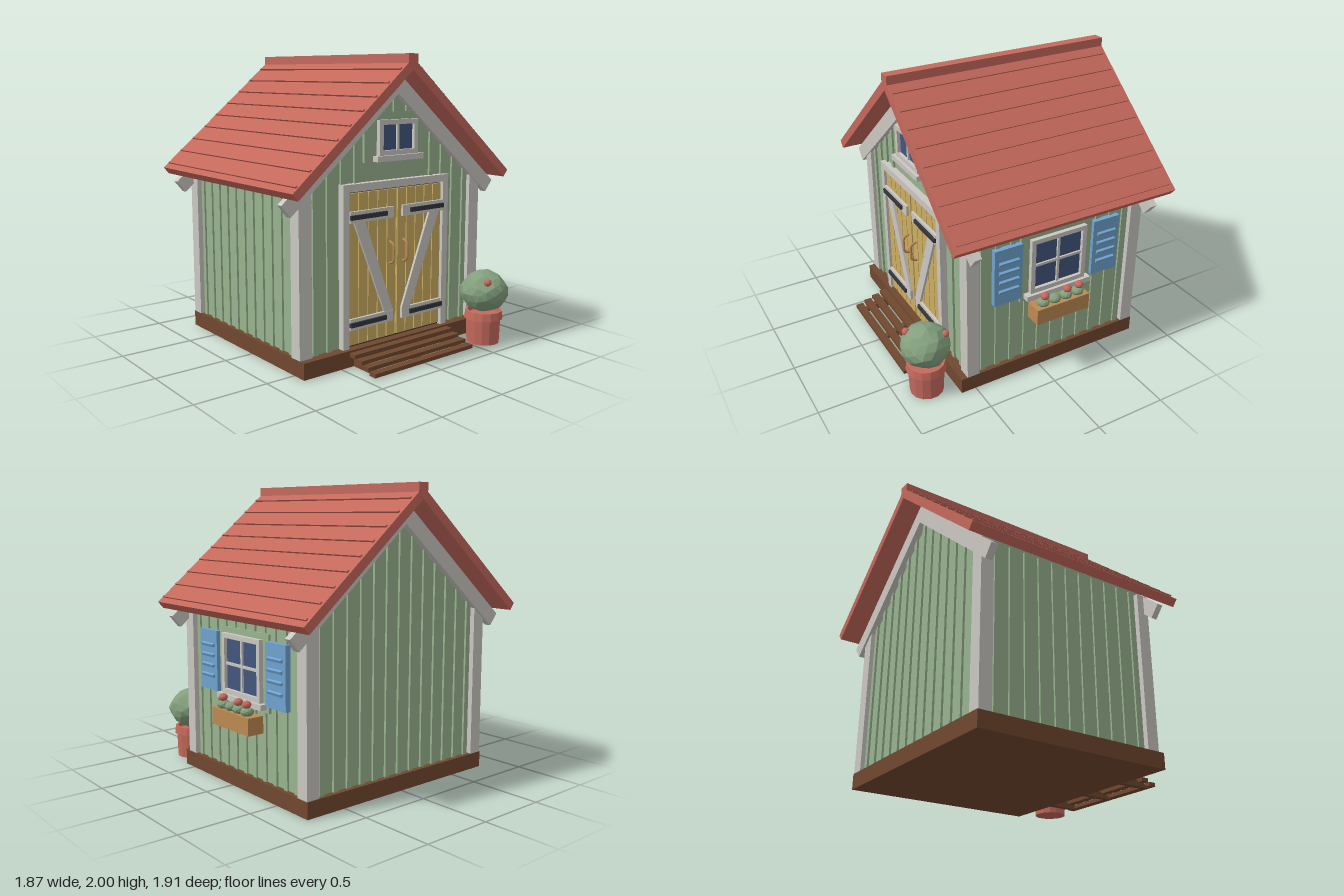
import * as THREE from 'three';

const mat = (name, color) => Object.assign(new THREE.MeshStandardMaterial({ color }), { name });

export function createModel() {
  const root = new THREE.Group();
  root.name = 'gardenShed';
  const red = mat('terracottaRed', 0xc4695c), green = mat('wallGreen', 0x98b38f);
  const trim = mat('trimGrey', 0xcbc8c3), yellow = mat('doorYellow', 0xcbae62);
  const blue = mat('shutterBlue', 0x6fa3cf), glass = mat('windowGlass', 0x42567c);
  const brown = mat('timberBrown', 0x70482f), iron = mat('ironBlack', 0x34363a);
  const wood = mat('planterWood', 0xbd8a52), leaf = mat('leafGreen', 0x829f7c);

  const add = (name, geo, material, parent = root) => {
    const m = new THREE.Mesh(geo, material);
    m.name = name;
    parent.add(m);
    return m;
  };
  // box given by its low and high limits on each axis
  const box = (name, material, x0, x1, y0, y1, z0, z1, parent = root) => {
    const m = add(name, new THREE.BoxGeometry(x1 - x0, y1 - y0, z1 - z0), material, parent);
    m.position.set((x0 + x1) / 2, (y0 + y1) / 2, (z0 + z1) / 2);
    return m;
  };
  // outline extruded between two z limits
  const slab = (name, material, pts, z0, z1, parent = root) => {
    const shape = new THREE.Shape(pts.map(p => new THREE.Vector2(p[0], p[1])));
    const geo = new THREE.ExtrudeGeometry(shape, { depth: z1 - z0, bevelEnabled: false });
    geo.translate(0, 0, z0);
    return add(name, geo, material, parent);
  };
  // lumpy low-poly ball
  const blob = (name, material, r, x, y, z, squash, detail, lump = 0) => {
    const geo = new THREE.IcosahedronGeometry(r, detail);
    const p = geo.attributes.position, v = new THREE.Vector3();
    for (let i = 0; i < p.count; i++) {
      v.fromBufferAttribute(p, i);
      const k = 1 + lump * Math.sin(v.x / r * 5 + 1) * Math.cos(v.y / r * 6) * Math.sin(v.z / r * 5 + 2);
      p.setXYZ(i, v.x * k, v.y * k * squash, v.z * k);
    }
    geo.computeVertexNormals();
    add(name, geo, material).position.set(x, y, z);
  };
  const slope = 0.838;

  // base and wall core
  box('base', brown, -0.795, 0.795, 0, 0.11, -0.805, 0.605);
  slab('walls', green, [[-0.76, 0.11], [0.76, 0.11], [0.76, 1.25], [0, 1.885], [-0.76, 1.25]], -0.765, 0.53);

  // wall battens
  for (let i = -6; i <= 6; i++) {
    const x = i * 0.11, a = Math.abs(x), top = 1.86 - slope * (a + 0.02);
    const bottom = a < 0.27 ? 1.63 : a < 0.46 ? 1.18 : 0.11;
    box('frontBatten', green, x - 0.018, x + 0.018, bottom, top, 0.525, 0.545);
    box('backBatten', green, x - 0.018, x + 0.018, 0.11, top, -0.78, -0.76);
  }
  for (let i = 0; i < 11; i++) {
    const z = 0.43 - i * 0.11;
    box('leftBatten', green, 0.755, 0.773, 0.11, 1.23, z - 0.018, z + 0.018);
    box('rightBatten', green, -0.773, -0.755, 0.11, 1.23, z - 0.018, z + 0.018);
  }

  // corner posts
  for (const s of [-1, 1]) {
    const x0 = s > 0 ? 0.7 : -0.795;
    box('cornerPost', trim, x0, x0 + 0.095, 0.11, 1.22, 0.47, 0.56);
    box('cornerPost', trim, x0, x0 + 0.095, 0.11, 1.22, -0.8, -0.71);
  }

  // roof with ribs, ridge cap and bargeboards
  slab('roof', red, [[0, 1.974], [-0.937, 1.19], [-0.898, 1.144], [0, 1.896], [0.898, 1.144], [0.937, 1.19]], -0.955, 0.705);
  box('ridgeCap', red, -0.04, 0.04, 1.92, 2, -0.955, 0.705);
  for (const s of [-1, 1]) for (let i = 0; i < 9; i++) {
    const x = 0.088 + i * 0.101;
    const rib = box('roofRib', red, -0.008, 0.008, -0.01, 0.01, -0.935, 0.69);
    rib.position.x = s * x;
    rib.position.y = 1.974 - slope * x + 0.002;
    rib.rotation.z = -s * Math.atan(slope);
  }
  const barge = [[0, 1.88], [-0.926, 1.103], [-0.86, 1.024], [0, 1.745], [0.86, 1.024], [0.926, 1.103]];
  slab('frontBargeboard', trim, barge, 0.525, 0.57);
  slab('backBargeboard', trim, barge, -0.815, -0.765);

  // door frame and recess
  box('doorRecess', iron, -0.42, 0.42, 0.11, 1.14, 0.53, 0.545);
  box('doorFrameTop', trim, -0.465, 0.465, 1.135, 1.185, 0.53, 0.578);
  for (const s of [-1, 1]) {
    box('doorFrameSide', trim, s * 0.44 - 0.025, s * 0.44 + 0.025, 0.11, 1.135, 0.53, 0.578);
    // door leaf of planks with ledges, brace, hinges and handle
    const door = new THREE.Group();
    door.name = s > 0 ? 'leftDoor' : 'rightDoor';
    root.add(door);
    box('doorBacking', yellow, Math.min(s * 0.005, s * 0.41), Math.max(s * 0.005, s * 0.41), 0.125, 1.125, 0.54, 0.553, door);
    for (let i = 0; i < 5; i++) {
      const x = s * (0.0455 + i * 0.081);
      box('doorPlank', yellow, x - 0.037, x + 0.037, 0.125, 1.125, 0.54, 0.562, door);
    }
    for (const [y0, y1] of [[0.23, 0.305], [0.935, 1.01]]) {
      const mid = (y0 + y1) / 2;
      box('doorLedge', trim, s * 0.225 - 0.185, s * 0.225 + 0.185, y0, y1, 0.555, 0.58, door);
      box('hingeStrap', iron, s * 0.258 - 0.153, s * 0.258 + 0.153, mid - 0.015, mid + 0.015, 0.575, 0.594, door);
    }
    const brace = [[0.375, 0.935], [0.285, 0.935], [0.04, 0.305], [0.115, 0.305]].map(p => [s * p[0], p[1]]);
    slab('doorBrace', trim, brace, 0.555, 0.579, door);
    const curve = new THREE.CatmullRomCurve3([[0.625, 0.56], [0.645, 0.6], [0.7, 0.604], [0.755, 0.6], [0.775, 0.56]]
      .map(p => new THREE.Vector3(s * 0.06, p[0], p[1])));
    add('doorHandle', new THREE.TubeGeometry(curve, 16, 0.009, 8), wood, door);
  }

  // window facing +z, centred on its own origin
  const makeWindow = (name, w, h, bars, sillW) => {
    const g = new THREE.Group(), t = 0.032;
    g.name = name;
    root.add(g);
    box('glass', glass, -w / 2 + 0.01, w / 2 - 0.01, -h / 2 + 0.01, h / 2 - 0.01, 0, 0.012, g);
    for (const s of [-1, 1]) {
      const x = s * (w - t) / 2, y = s * (h - t) / 2;
      box('frameSide', trim, x - t / 2, x + t / 2, -h / 2, h / 2, 0, 0.035, g);
      box('frameRail', trim, -w / 2 + t, w / 2 - t, y - t / 2, y + t / 2, 0, 0.035, g);
    }
    box('mullion', trim, -0.009, 0.009, -h / 2 + t, h / 2 - t, 0, 0.025, g);
    if (bars) box('glazingBar', trim, -w / 2 + t, w / 2 - t, -0.009, 0.009, 0, 0.024, g);
    box('windowSill', trim, -sillW / 2, sillW / 2, -h / 2 - 0.037, -h / 2, 0, 0.055, g);
    return g;
  };

  // gable window on a flat panel
  box('gablePanel', green, -0.27, 0.27, 1.31, 1.63, 0.525, 0.548);
  makeWindow('gableWindow', 0.335, 0.23, false, 0.4).position.set(0, 1.465, 0.545);

  // side window with shutters
  box('sidePanel', green, 0.755, 0.777, 0.565, 1.07, -0.4, 0.155);
  const side = makeWindow('sideWindow', 0.43, 0.405, true, 0.505);
  side.position.set(0.772, 0.8275, -0.125);
  side.rotation.y = Math.PI / 2;
  for (const z of [0.26, -0.5025]) {
    box('shutter', blue, 0.765, 0.802, 0.617, 1.03, z - 0.104, z + 0.104);
    for (let i = 0; i < 4; i++) {
      const y = 0.93 - i * 0.07;
      const slat = box('shutterSlat', blue, 0.792, 0.815, y - 0.01, y + 0.01, z - 0.073, z + 0.073);
      slat.rotation.z = -0.4;
    }
  }

  // flower box
  box('flowerBox', wood, 0.773, 0.89, 0.425, 0.54, -0.33, 0.085);
  for (const z of [0.015, -0.075, -0.165, -0.258]) blob('boxPlant', leaf, 0.045, 0.845, 0.565, z, 0.75, 1);
  for (const z of [0.008, -0.17, -0.265]) blob('boxFlower', red, 0.031, 0.853, 0.613, z, 0.85, 1);

  // front steps
  for (let i = 0; i < 4; i++) {
    const z = 0.64 + i * 0.066, top = 0.1 - i * 0.022;
    box('stepBoard', brown, -0.44, 0.44, top - 0.026, top, z - 0.027, z + 0.027);
  }
  for (const x of [-0.38, 0, 0.38]) {
    const beam = slab('stepBearer', brown, [[-0.84, 0], [-0.6, 0], [-0.6, 0.085], [-0.84, 0.012]], -0.02, 0.02);
    beam.rotation.y = Math.PI / 2;
    beam.position.x = x;
  }

  // potted shrub
  const profile = [[0, 0], [0.115, 0], [0.121, 0.17], [0.136, 0.175], [0.128, 0.23], [0.11, 0.23], [0.105, 0.2], [0, 0.2]];
  const potGeo = new THREE.LatheGeometry(profile.map(p => new THREE.Vector2(p[0], p[1])), 14).toNonIndexed();
  potGeo.computeVertexNormals();
  add('plantPot', potGeo, red).position.set(0.632, 0, 0.785);
  blob('shrub', leaf, 0.167, 0.632, 0.365, 0.785, 0.87, 2, 0.07);
  blob('shrubFlower', red, 0.026, 0.555, 0.455, 0.885, 1, 1);
  blob('shrubFlower', red, 0.024, 0.7, 0.455, 0.668, 1, 1);

  return root;
}
